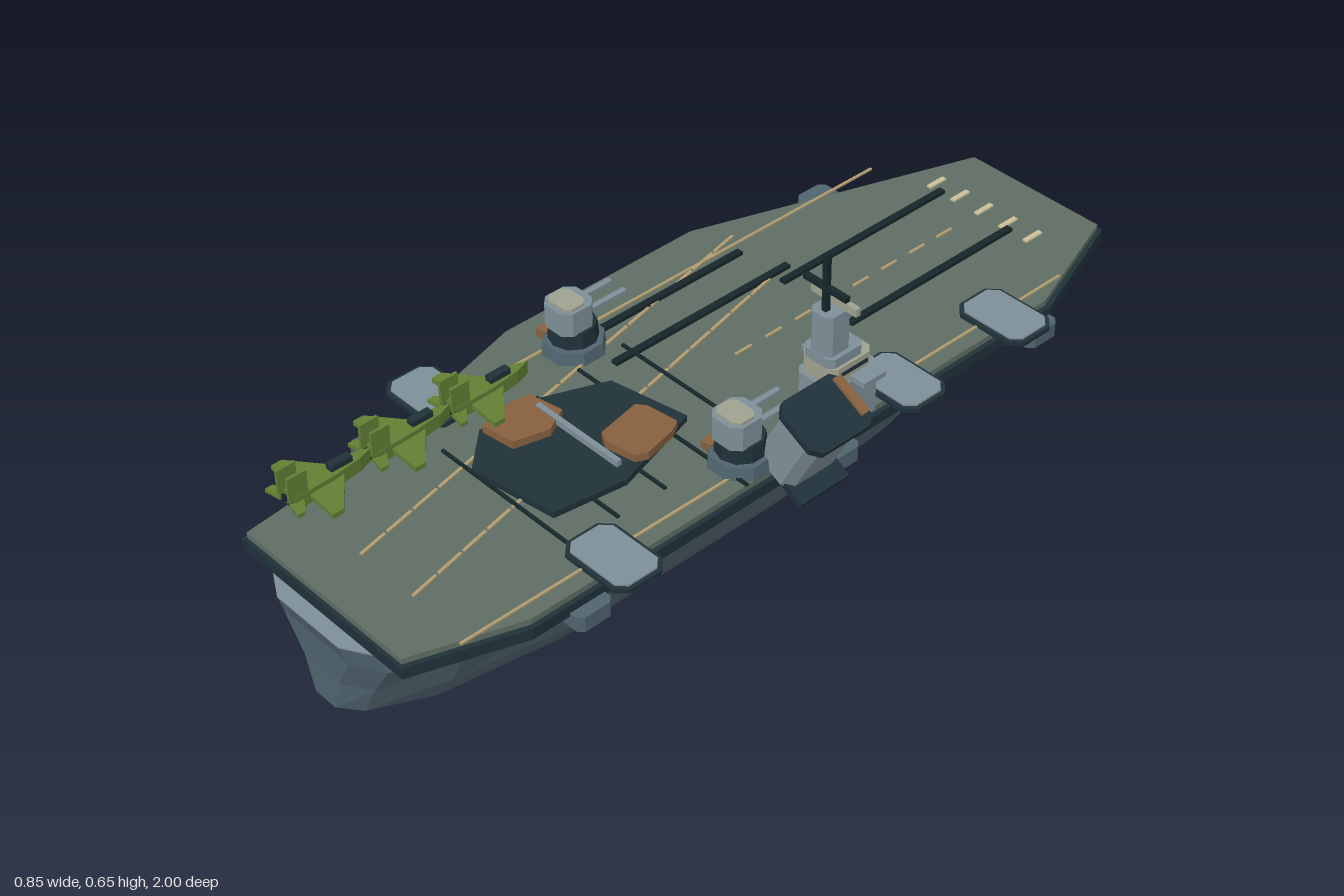
import * as THREE from 'three';

const mat = (name, color, extra = {}) => {
  const m = new THREE.MeshStandardMaterial({ color, flatShading: true, ...extra });
  m.name = name;
  return m;
};

export function createModel() {
  const root = new THREE.Group();
  const M = {
    hull: mat('hullGrey', 0x50646f, { side: THREE.DoubleSide }),
    grey: mat('lightGrey', 0x7e8f98),
    dark: mat('darkSlate', 0x1f3139),
    black: mat('nearBlack', 0x17262a),
    deck: mat('deckGreen', 0x5f6d63),
    green: mat('aircraftGreen', 0x617f34),
    rust: mat('rustBrown', 0x86603f),
    beige: mat('paleBeige', 0xa0a290),
    tan: mat('markingTan', 0xb09c70),
    cream: mat('markingCream', 0xc9bf98),
  };

  const add = (parent, name, geo, m, x = 0, y = 0, z = 0) => {
    const mesh = new THREE.Mesh(geo, m);
    mesh.name = name;
    mesh.position.set(x, y, z);
    parent.add(mesh);
    return mesh;
  };
  const box = (parent, name, m, w, h, d, x, y, z) =>
    add(parent, name, new THREE.BoxGeometry(w, h, d), m, x, y, z);
  const group = (name, x = 0, y = 0, z = 0) => {
    const g = new THREE.Group();
    g.name = name;
    g.position.set(x, y, z);
    root.add(g);
    return g;
  };
  // Flat slab from an [x, z] outline, bottom at y
  const slab = (parent, name, m, pts, y, h, x = 0, z = 0) => {
    const shape = new THREE.Shape(pts.map(p => new THREE.Vector2(p[0], -p[1])));
    const geo = new THREE.ExtrudeGeometry(shape, { depth: h, bevelEnabled: false });
    geo.rotateX(-Math.PI / 2);
    return add(parent, name, geo, m, x, y, z);
  };
  const chamfered = (w, d, c) => {
    const a = w / 2, b = d / 2;
    return [[-a + c, -b], [a - c, -b], [a, -b + c], [a, b - c],
      [a - c, b], [-a + c, b], [-a, b - c], [-a, -b + c]];
  };
  // Thin line painted between two deck points
  const line = (parent, name, m, x0, z0, x1, z1, w, y = 0.253, h = 0.004) => {
    const len = Math.hypot(x1 - x0, z1 - z0);
    const b = box(parent, name, m, w, h, len, (x0 + x1) / 2, y, (z0 + z1) / 2);
    b.rotation.y = Math.atan2(x1 - x0, z1 - z0);
  };

  // Hull, open below: stations [z, width factor] through levels [y, half width, length, taper power]
  const stations = [[-0.98, 0.01], [-0.93, 0.17], [-0.8, 0.48], [-0.6, 0.78], [-0.3, 0.97],
    [0, 1], [0.55, 1], [0.82, 0.86], [0.945, 0.62], [0.98, 0.37]];
  const levels = [[0, 0.178, 1, 1.8], [0.08, 0.237, 1, 1.5], [0.165, 0.268, 1.005, 1], [0.212, 0.25, 1.02, 1]];
  const ring = ([, hw, l, p]) => {
    const side = s => stations.map(([z, f]) => [-0.022 + s * hw * f ** p, z * l]);
    return [...side(1), ...side(-1).reverse()];
  };
  const rings = levels.map(ring);
  const pos = [];
  for (let i = 0; i < 3; i++) {
    for (let j = 0; j < rings[0].length; j++) {
      const k = (j + 1) % rings[0].length;
      const p = (l, n) => [rings[l][n][0], levels[l][0], rings[l][n][1]];
      const a = p(i, j), b = p(i, k), c = p(i + 1, k), d = p(i + 1, j);
      pos.push(...a, ...d, ...b, ...b, ...d, ...c);
    }
  }
  const hullGeo = new THREE.BufferGeometry();
  hullGeo.setAttribute('position', new THREE.Float32BufferAttribute(pos, 3));
  hullGeo.computeVertexNormals();
  add(root, 'hull', hullGeo, M.hull);
  slab(root, 'hullTop', M.grey, rings[3], 0.209, 0.003);
  slab(root, 'deckUnderside', M.deck, rings[3].map(([x, z]) => [x * 0.98, z * 0.98]), 0.203, 0.006);

  // Flight deck
  const outline = [[-0.18, -0.97], [0.19, -0.97], [0.297, -0.68], [0.297, 0.73], [0.215, 0.967],
    [-0.265, 0.967], [-0.305, 0.6], [-0.412, 0.21], [-0.412, -0.31]];
  slab(root, 'deckEdge', M.dark, outline, 0.212, 0.026);
  slab(root, 'deckSurface', M.deck, outline.map(([x, z]) => [-0.002 + x * 0.97, z * 0.992]), 0.238, 0.013);

  // Catapult tracks and arrestor wires
  const fittings = group('deckFittings');
  for (const [x, z0, z1] of [[-0.132, -0.81, -0.32], [0.065, -0.81, -0.32],
    [-0.27, -0.33, 0.08], [-0.167, -0.37, 0.12]])
    line(fittings, 'catapultTrack', M.black, x, z0, x, z1, 0.016, 0.255, 0.009);
  for (const [x0, x1, z] of [[-0.2, 0.29, 0.068], [-0.2, 0.29, 0.187], [-0.19, 0.19, 0.307],
    [-0.19, 0.19, 0.427], [-0.19, 0.19, 0.545]])
    line(fittings, 'arrestorWire', M.black, x0, z, x1, z, 0.007, 0.256, 0.005);

  // Painted deck markings
  const marks = group('deckMarkings');
  for (let i = -2; i <= 2; i++)
    box(marks, 'bowMark', M.cream, 0.012, 0.005, 0.05, -0.023 + i * 0.07, 0.253, -0.825);
  for (let z = -0.72; z < -0.1; z += 0.085)
    line(marks, 'centreDash', M.tan, -0.022, z, -0.022, z + 0.045, 0.006);
  for (const [x0, z0, x1, z1] of [[-0.325, -0.36, -0.06, 0.85], [-0.16, -0.31, 0.095, 0.85]]) {
    const at = t => [x0 + (x1 - x0) * t, z0 + (z1 - z0) * t];
    for (let i = 0; i < 16; i++)
      line(marks, 'landingDash', M.tan, ...at(i / 16), ...at((i + 0.9) / 16), 0.007);
  }
  line(marks, 'leftEdgeLine', M.tan, 0.25, -0.76, 0.25, 0.86, 0.006);
  line(marks, 'rightEdgeLine', M.tan, -0.3, -0.76, -0.3, 0.3, 0.006);

  // Side elevators
  for (const [x, z] of [[0.27, -0.565], [0.27, -0.252], [0.27, 0.51], [-0.335, 0.455]]) {
    const g = group('sideElevator', x, 0, z);
    slab(g, 'elevatorRim', M.dark, chamfered(0.18, 0.124, 0.024), 0.251, 0.01);
    slab(g, 'elevatorTop', M.grey, chamfered(0.162, 0.107, 0.019), 0.261, 0.004);
  }

  // Sponsons under the deck edge
  for (const x of [-0.34, 0.294])
    for (const z of [-0.635, -0.05, 0.6])
      slab(root, 'sponson', M.hull, chamfered(0.062, 0.085, 0.012), 0.185, 0.035, x, z);

  // Damaged deck patch with rusted plates
  const patch = group('damagedDeck');
  slab(patch, 'darkPatch', M.dark, [[-0.12, 0.17], [0.065, 0.135], [0.128, 0.35], [0.105, 0.515],
    [-0.1, 0.545], [-0.18, 0.46], [-0.18, 0.32]], 0.251, 0.014);
  slab(patch, 'rustPlate', M.rust, [[-0.015, 0.2], [0.005, 0.185], [0.08, 0.175], [0.095, 0.2],
    [0.113, 0.28], [0.1, 0.305], [0.03, 0.318], [0.005, 0.305]], 0.265, 0.018);
  slab(patch, 'rustPlate', M.rust, [[-0.18, 0.33], [-0.1, 0.315], [-0.07, 0.37], [-0.09, 0.45],
    [-0.17, 0.46], [-0.19, 0.4]], 0.265, 0.018);
  box(patch, 'bentBeam', M.grey, 0.24, 0.014, 0.012, -0.025, 0.279, 0.34);

  // Gun turrets
  for (const x of [-0.268, 0.222]) {
    const g = group('turret', x, 0, 0.14);
    const base = add(g, 'turretBase', new THREE.CylinderGeometry(0.066, 0.07, 0.03, 8), M.hull, 0, 0.265, 0);
    base.rotation.y = Math.PI / 8;
    box(g, 'rustPatch', M.rust, 0.026, 0.02, 0.055, -0.054, 0.275, 0.015);
    add(g, 'turretRing', new THREE.CylinderGeometry(0.05, 0.053, 0.038, 10), M.dark, 0, 0.3, 0);
    slab(g, 'turretHouse', M.grey, chamfered(0.085, 0.085, 0.018), 0.317, 0.056, 0, 0.01);
    slab(g, 'turretRoof', M.beige, chamfered(0.07, 0.055, 0.012), 0.373, 0.006, 0, 0.015);
    for (const bx of [-0.022, 0.022]) {
      const b = add(g, 'gunBarrel', new THREE.CylinderGeometry(0.008, 0.008, 0.1, 6), M.grey, bx, 0.345, -0.07);
      b.rotation.x = Math.PI / 2;
    }
  }

  // Command island
  const isl = group('island', 0.24, 0, -0.09);
  slab(isl, 'islandBase', M.grey, chamfered(0.105, 0.14, 0.015), 0.25, 0.11, 0, -0.015);
  box(isl, 'bridgeWing', M.grey, 0.172, 0.012, 0.06, 0, 0.365, -0.03);
  slab(isl, 'bridge', M.beige, chamfered(0.095, 0.115, 0.015), 0.36, 0.042, 0, -0.01);
  box(isl, 'bridgeWindows', M.dark, 0.098, 0.009, 0.075, 0, 0.385, -0.01);
  slab(isl, 'bridgeRoof', M.grey, chamfered(0.082, 0.095, 0.012), 0.402, 0.022, 0, 0);
  slab(isl, 'tower', M.grey, chamfered(0.058, 0.068, 0.012), 0.424, 0.094, 0.002, 0.012);
  box(isl, 'radarPanel', M.beige, 0.122, 0.018, 0.012, 0.002, 0.531, 0);
  box(isl, 'mast', M.black, 0.012, 0.14, 0.012, 0.002, 0.58, 0.026);
  box(isl, 'mastYard', M.black, 0.114, 0.012, 0.012, 0.002, 0.572, 0.026);

  // Leaning funnel
  const fun = group('funnel', 0.286, 0.248, 0.055);
  fun.rotation.z = -0.48;
  box(fun, 'funnelFoot', M.dark, 0.11, 0.016, 0.13, 0.035, 0.004, 0);
  slab(fun, 'funnelBody', M.grey, chamfered(0.104, 0.14, 0.02), 0.004, 0.156);
  slab(fun, 'funnelCap', M.dark, chamfered(0.128, 0.162, 0.02), 0.158, 0.018);
  box(fun, 'funnelRust', M.rust, 0.09, 0.008, 0.02, -0.005, 0.179, -0.068);

  // Parked jets, noses towards the bow
  const jet = z => {
    const g = group('jet', -0.233, 0, z);
    slab(g, 'fuselage', M.green, [[0, -0.12], [0.012, -0.085], [0.02, -0.02], [0.022, 0.075],
      [-0.022, 0.075], [-0.02, -0.02], [-0.012, -0.085]], 0.284, 0.031);
    // Outlines are mirrored by x, so the mirrored one is reversed by the shape itself
    for (const s of [-1, 1]) {
      slab(g, 'wing', M.green, [[s * 0.015, -0.045], [s * 0.097, 0.02], [s * 0.097, 0.045],
        [s * 0.015, 0.04]], 0.294, 0.011);
      slab(g, 'tailplane', M.green, [[s * 0.015, 0.05], [s * 0.052, 0.075], [s * 0.052, 0.092],
        [s * 0.015, 0.085]], 0.294, 0.009);
      box(g, 'tailFin', M.green, 0.007, 0.058, 0.044, s * 0.017, 0.336, 0.065);
      box(g, 'nozzle', M.black, 0.014, 0.014, 0.008, s * 0.011, 0.299, 0.077);
    }
    box(g, 'canopy', M.dark, 0.018, 0.014, 0.05, 0, 0.321, -0.045);
  };
  [0.41, 0.605, 0.8].forEach(jet);

  return root;
}
